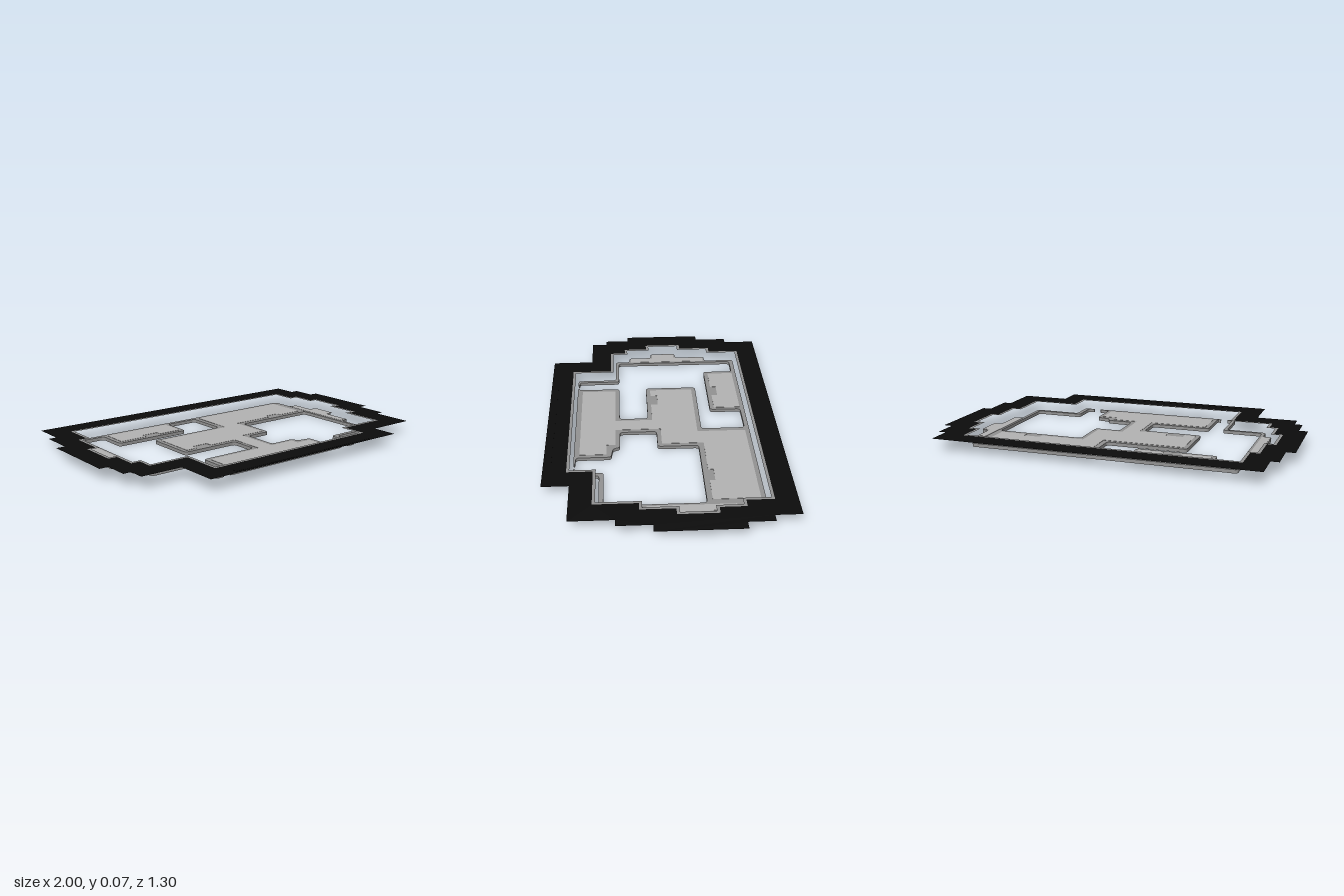
import * as THREE from 'three';

const black = new THREE.MeshStandardMaterial({ color: 0x0c0c0c, side: THREE.DoubleSide });
black.name = 'black surround';
const midGrey = new THREE.MeshStandardMaterial({ color: 0x929292, side: THREE.DoubleSide });
midGrey.name = 'wall grey';
const lightGrey = new THREE.MeshStandardMaterial({ color: 0xb2b2b2 });
lightGrey.name = 'floor grey';

const toVectors = (points) => points.map(([x, z]) => new THREE.Vector2(x, z));

// Moves every edge of a right-angled outline inwards by d
function inset(points, d) {
  const n = points.length;
  const area = points.reduce((sum, [x, z], i) => {
    const [x2, z2] = points[(i + 1) % n];
    return sum + x * z2 - x2 * z;
  }, 0);
  const s = Math.sign(area) * d;
  return points.map(([x, z], i) => {
    const [px, pz] = points[(i + n - 1) % n];
    const [nx, nz] = points[(i + 1) % n];
    const dirs = [[x - px, z - pz], [nx - x, nz - z]];
    return dirs.reduce(([ax, az], [dx, dz]) =>
      [ax - Math.sign(dz) * s, az + Math.sign(dx) * s], [x, z]);
  });
}

// Outline with small rounded corners
function roundedShape(points, radius) {
  const v = toVectors(points);
  const shape = new THREE.Shape();
  v.forEach((p, i) => {
    const a = v[(i + v.length - 1) % v.length];
    const b = v[(i + 1) % v.length];
    const ra = Math.min(radius, a.distanceTo(p) * 0.45);
    const rb = Math.min(radius, b.distanceTo(p) * 0.45);
    const start = p.clone().add(a.clone().sub(p).setLength(ra));
    const end = p.clone().add(b.clone().sub(p).setLength(rb));
    if (i === 0) shape.moveTo(start.x, start.y);
    else shape.lineTo(start.x, start.y);
    shape.quadraticCurveTo(p.x, p.y, end.x, end.y);
  });
  shape.closePath();
  return shape;
}

// Stepped edges, drawn from the front left corner round the back
const outerEdge = [
  [-0.67, 0.65], [-0.67, 0.41], [-0.905, 0.41], [-0.905, 0.32], [-0.95, 0.32], [-0.95, 0.18],
  [-1, 0.18], [-1, -0.28], [-0.95, -0.28], [-0.95, -0.47], [-0.905, -0.47], [-0.905, -0.655],
  [0.905, -0.655], [0.905, -0.515], [0.95, -0.515], [0.95, -0.375], [1, -0.375], [1, -0.085 + 0.17],
  [0.95, 0.085], [0.95, 0.27], [0.905, 0.27], [0.905, 0.505], [0.625, 0.505], [0.625, 0.65],
];
const innerEdge = [
  [-0.55, 0.525], [-0.55, 0.29], [-0.78, 0.29], [-0.78, 0.2], [-0.83, 0.2], [-0.83, 0.06],
  [-0.88, 0.06], [-0.88, -0.16], [-0.83, -0.16], [-0.83, -0.35], [-0.78, -0.35], [-0.78, -0.535],
  [0.78, -0.535], [0.78, -0.39], [0.83, -0.39], [0.83, -0.25], [0.875, -0.25], [0.875, -0.035],
  [0.83, -0.035], [0.83, 0.15], [0.78, 0.15], [0.78, 0.385], [0.505, 0.385], [0.505, 0.525],
];

// Room openings, entered through the doorways on the front edge
const rightRoom = [
  [0.41, 0.495], [0.41, 0.485], [0.45, 0.485], [0.45, 0.33], [0.73, 0.33], [0.73, -0.2],
  [0.22, -0.2], [0.22, 0.03], [0.07, 0.03], [0.07, 0.24], [0.22, 0.24], [0.23, 0.28],
  [0.31, 0.29], [0.31, 0.485], [0.37, 0.485], [0.37, 0.495],
];
const leftRoom = [
  [-0.43, 0.495], [-0.43, 0.485], [-0.41, 0.485], [-0.41, 0.24], [-0.07, 0.24], [-0.07, 0.075],
  [-0.41, 0.075], [-0.41, -0.23], [0.05, -0.23], [0.05, -0.48], [-0.15, -0.48], [-0.15, -0.3],
  [-0.6, -0.3], [-0.6, -0.48], [-0.73, -0.48], [-0.73, 0.24], [-0.5, 0.24], [-0.5, 0.485],
  [-0.47, 0.485], [-0.47, 0.495],
];

// Floor panels inside the wall lines, with small door notches
const floors = {
  backLeftFloor: [[-0.575, -0.48], [-0.17, -0.48], [-0.17, -0.325], [-0.31, -0.325],
    [-0.31, -0.36], [-0.41, -0.36], [-0.41, -0.325], [-0.575, -0.325]],
  mainFloor: [[0.08, -0.48], [0.705, -0.48], [0.705, -0.23], [0.545, -0.23], [0.545, -0.26],
    [0.45, -0.26], [0.45, -0.23], [0.195, -0.23], [0.195, 0.005], [0.045, 0.005],
    [0.045, 0.265], [0.195, 0.265], [0.195, 0.315], [0.285, 0.315], [0.285, 0.465],
    [-0.385, 0.465], [-0.385, 0.265], [-0.05, 0.265], [-0.05, 0.05], [-0.22, 0.05],
    [-0.22, 0.01], [-0.32, 0.01], [-0.32, 0.05], [-0.385, 0.05], [-0.385, -0.205],
    [0.08, -0.205]],
  rightSideFloor: [[0.745, -0.35], [0.795, -0.35], [0.795, -0.21], [0.845, -0.21],
    [0.845, -0.06], [0.795, -0.06], [0.795, 0.11], [0.745, 0.11]],
  leftSideFloor: [[-0.745, -0.31], [-0.795, -0.31], [-0.795, -0.12], [-0.84, -0.12],
    [-0.84, 0.02], [-0.795, 0.02], [-0.795, 0.16], [-0.745, 0.16]],
};

export function createModel() {
  const model = new THREE.Group();
  const add = (name, geometry, material, y) => {
    const mesh = new THREE.Mesh(geometry, material);
    mesh.name = name;
    mesh.position.y = y;
    model.add(mesh);
    return mesh;
  };
  const slab = (shape, depth) =>
    new THREE.ExtrudeGeometry(shape, { depth, bevelEnabled: false, curveSegments: 4 })
      .rotateX(Math.PI / 2);
  const flatRing = (outer, inner) => {
    const shape = new THREE.Shape(toVectors(outer));
    shape.holes.push(new THREE.Path(toVectors(inner)));
    return new THREE.ShapeGeometry(shape).rotateX(-Math.PI / 2).scale(1, 1, -1);
  };

  // Walled plan with its rooms cut through
  const plan = [...inset(innerEdge, 0.03), ...rightRoom, ...leftRoom];
  add('walls', slab(roundedShape(plan, 0.02), 0.0195), midGrey, 0.0195);
  for (const [name, points] of Object.entries(floors)) {
    add(name, slab(new THREE.Shape(toVectors(points)), 0.0015), lightGrey, 0.021);
  }

  // Raised surround and its thin grey border
  const facingUp = (geometry) => {
    const index = geometry.index.array;
    for (let i = 0; i < index.length; i += 3) {
      [index[i], index[i + 1]] = [index[i + 1], index[i]];
    }
    return geometry;
  };
  add('surround', facingUp(flatRing(outerEdge, innerEdge)), black, 0.07);
  add('innerBorder', facingUp(flatRing(innerEdge, inset(innerEdge, 0.016))), midGrey, 0.07);

  // Slim strip along the front edge
  const strip = add('frontStrip', new THREE.BoxGeometry(0.95, 0.002, 0.025), black, 0.07);
  strip.position.set(-0.025, 0.07, 0.62);
  return model;
}
